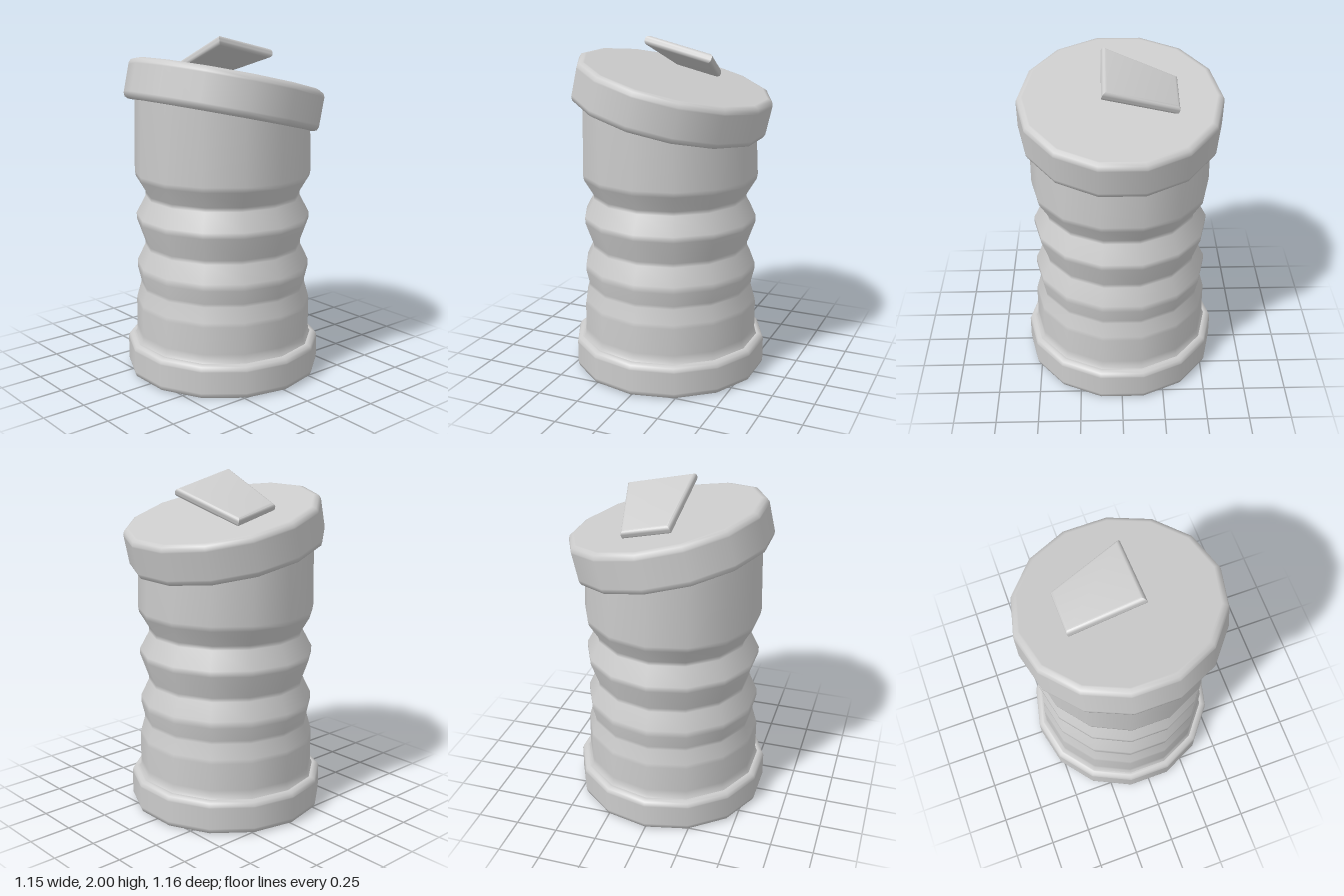
import * as THREE from 'three';
import { toCreasedNormals } from 'three/addons/utils/BufferGeometryUtils.js';

const SIDES = 14;
const TILT = THREE.MathUtils.degToRad(13);
const material = new THREE.MeshStandardMaterial({ color: 0xcccccc });

function lathe(points) {
  return new THREE.LatheGeometry(points.map(([r, y]) => new THREE.Vector2(r, y)), SIDES);
}

// Closed disc with softly bevelled rims; extra rings keep the flats flat.
function disc(radius, bottom, top, bevel) {
  const b = bevel, k = bevel * 0.3;
  return lathe([
    [0, bottom], [radius - 1.3 * b, bottom], [radius - b, bottom], [radius - k, bottom + k],
    [radius, bottom + b], [radius, bottom + 1.3 * b], [radius, top - 1.3 * b], [radius, top - b],
    [radius - k, top - k], [radius - b, top], [radius - 1.3 * b, top], [0, top],
  ]);
}

function mesh(name, geometry) {
  const m = new THREE.Mesh(geometry, material);
  m.name = name;
  return m;
}

// Ribbed body whose top ring is slanted to meet the lid
function bodyGeometry() {
  const top = 1.57;
  const geo = lathe([
    [0.545, 0.19], [0.527, 0.215], [0.525, 0.25], [0.525, 0.41], [0.521, 0.435],
    [0.497, 0.52], [0.497, 0.54], [0.516, 0.62], [0.516, 0.66], [0.468, 0.76], [0.468, 0.785],
    [0.516, 0.92], [0.516, 0.955], [0.46, 1.06], [0.46, 1.085], [0.517, 1.18], [0.522, 1.21],
    [0.522, top],
  ]);
  const p = geo.attributes.position;
  for (let i = 0; i < p.count; i++) {
    if (p.getY(i) < top - 0.01) continue;
    const x = p.getX(i);
    p.setXYZ(i, x * Math.cos(TILT), top - x * Math.sin(TILT), p.getZ(i));
  }
  return geo;
}

// Tapered plate, wide end towards +z
function tabGeometry() {
  const shape = new THREE.Shape([
    new THREE.Vector2(-0.142, -0.225), new THREE.Vector2(0.142, -0.225),
    new THREE.Vector2(0.207, 0.225), new THREE.Vector2(-0.207, 0.225),
  ]);
  const bevel = 0.022;
  const geo = new THREE.ExtrudeGeometry(shape, {
    depth: 0.012, bevelEnabled: true, bevelSize: bevel, bevelThickness: bevel,
    bevelOffset: -bevel, bevelSegments: 4,
  });
  geo.translate(0, 0, -0.006);
  geo.rotateX(Math.PI / 2);
  return toCreasedNormals(geo, 0.6);
}

export function createModel() {
  const model = new THREE.Group();
  model.name = 'canister';

  model.add(mesh('base', disc(0.58, 0, 0.2, 0.028)));
  model.add(mesh('body', bodyGeometry()));

  // Slanted lid with its raised tab
  const lid = new THREE.Group();
  lid.name = 'lid';
  lid.position.set(0.012, 1.655, 0);
  lid.rotation.z = -TILT;
  lid.add(mesh('lidCap', disc(0.58, -0.118, 0.118, 0.03)));

  const tab = mesh('tab', tabGeometry());
  tab.position.set(0.015, 0.212, -0.107);
  tab.rotation.x = -THREE.MathUtils.degToRad(21);
  lid.add(tab);
  model.add(lid);

  return model;
}
